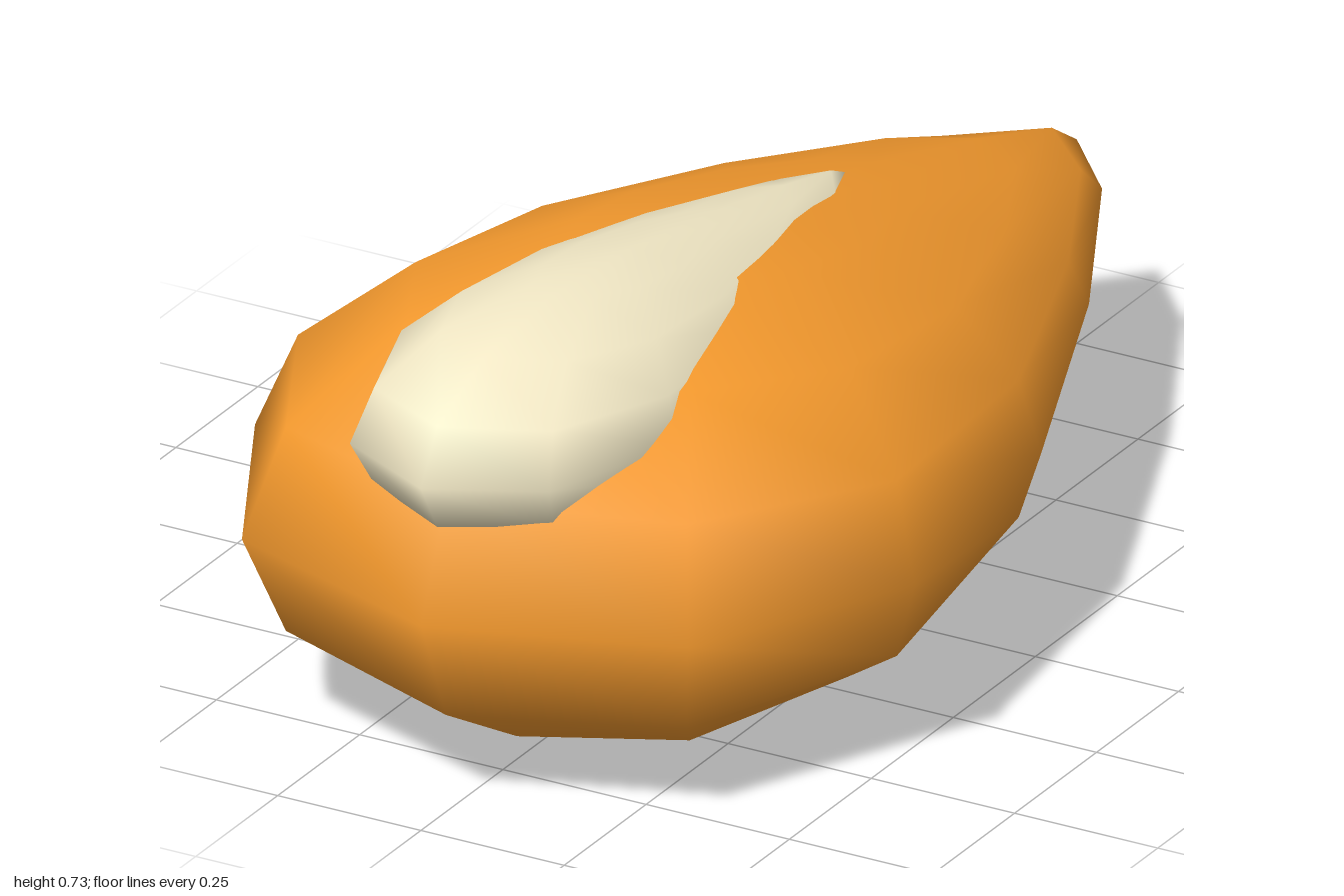
import * as THREE from 'three';
import { mergeVertices } from 'three/addons/utils/BufferGeometryUtils.js';

// Low-poly ellipsoid whose cross-section shrinks linearly towards the back (-z)
function taperedEllipsoid(name, color, [rx, ry, rz], [y, z], taper = 0.607) {
  let geometry = new THREE.SphereGeometry(1, 12, 8);
  const pos = geometry.attributes.position;
  for (let i = 0; i < pos.count; i++) {
    const s = 1 + taper * pos.getZ(i);
    pos.setXYZ(i, pos.getX(i) * rx * s, pos.getY(i) * ry * s, pos.getZ(i) * rz);
  }
  // Weld the seam so the shading stays smooth all round
  geometry.deleteAttribute('uv');
  geometry.deleteAttribute('normal');
  geometry = mergeVertices(geometry);
  geometry.computeVertexNormals();

  const mesh = new THREE.Mesh(geometry, new THREE.MeshStandardMaterial({ color }));
  mesh.name = name;
  mesh.position.set(0, y, z);
  return mesh;
}

export function createModel() {
  const group = new THREE.Group();
  group.name = 'kernel';
  // Orange body, pointed at the back
  group.add(taperedEllipsoid('body', 0xf59a2e, [0.51, 0.3, 1], [0.345, 0]));
  // Pale germ half sunk into the top
  group.add(taperedEllipsoid('germ', 0xf5ebc8, [0.228, 0.14, 0.65], [0.575, 0.35]));
  return group;
}
